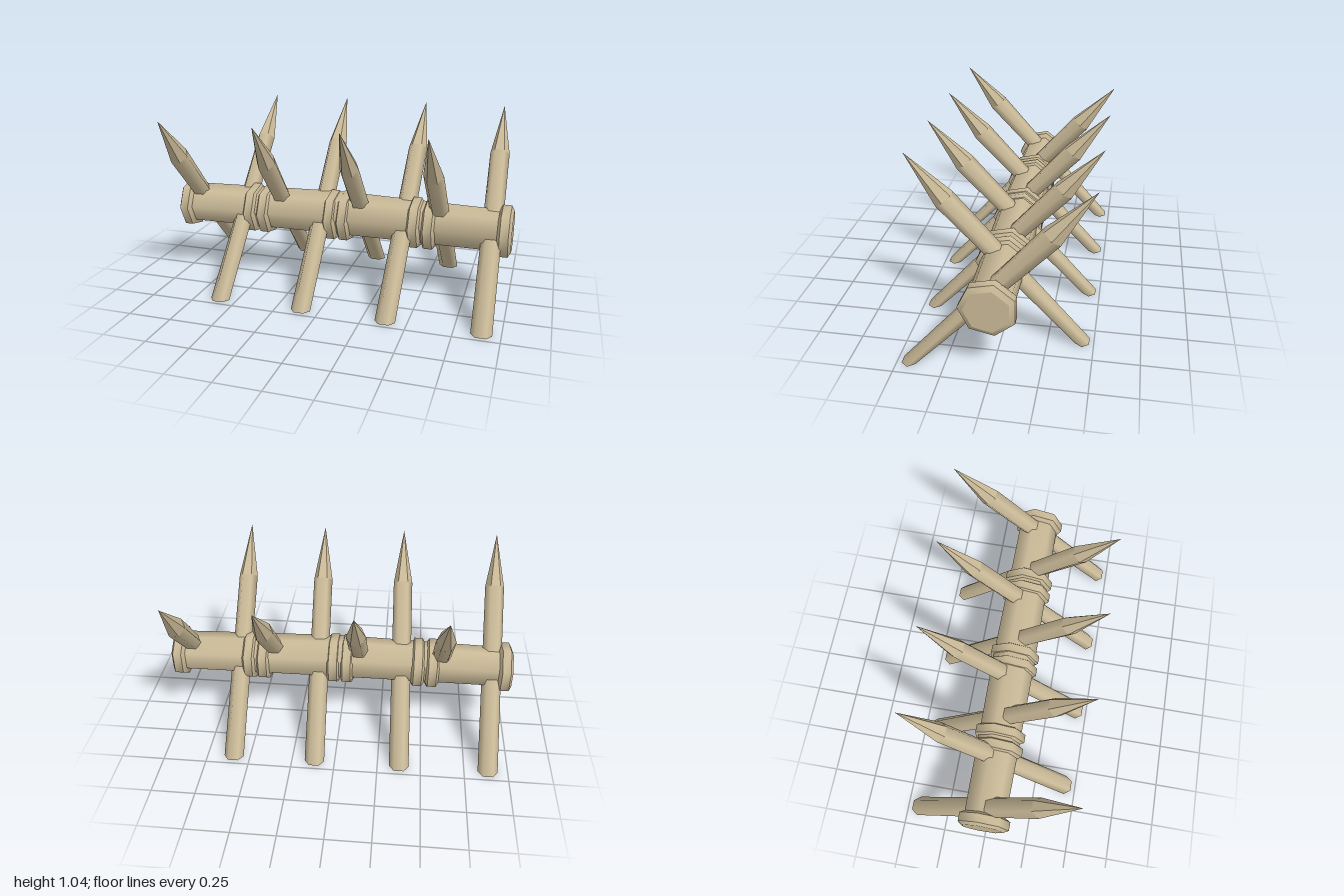
import * as THREE from 'three';
import { mergeGeometries } from 'three/addons/utils/BufferGeometryUtils.js';

// Turns points and triangles into a geometry, smooth or faceted
function surface(points, index, flat = false) {
  let g = new THREE.BufferGeometry().setFromPoints(points);
  g.setIndex(index);
  if (flat) g = g.toNonIndexed();
  g.computeVertexNormals();
  return flat ? g : g.toNonIndexed();
}

// Skin through a list of closed rings
function loft(rings, flat = false) {
  const n = rings[0].length, index = [];
  for (let r = 0; r < rings.length - 1; r++) {
    for (let i = 0; i < n; i++) {
      const a = r * n + i, b = r * n + (i + 1) % n;
      index.push(a, a + n, b + n, a, b + n, b);
    }
  }
  return surface(rings.flat(), index, flat);
}

// Flat lid on a ring
function lid(ring, atEnd = false) {
  const index = [];
  for (let i = 1; i < ring.length - 1; i++) {
    index.push(0, ...(atEnd ? [i + 1, i] : [i, i + 1]));
  }
  return surface(ring, index, true);
}

// Seven-sided section across the log
function logRing(x, radius, y = 0.427) {
  return Array.from({ length: 7 }, (_, i) => {
    const a = i / 7 * Math.PI * 2;
    return new THREE.Vector3(x, y + radius * Math.sin(a), radius * Math.cos(a));
  });
}

// Six-sided section across a stake; dy and dz give the tilt of its short axis
function stakeRing(x, y, z, half, dy, dz) {
  return Array.from({ length: 6 }, (_, i) => {
    const a = i / 6 * Math.PI * 2, s = Math.sin(a) / Math.sin(Math.PI / 3);
    return new THREE.Vector3(x + half * Math.cos(a), y + dy * s, z + dz * s);
  });
}

export function createModel() {
  const group = new THREE.Group();
  const wood = new THREE.MeshStandardMaterial({ color: 0xc9b997 });
  wood.name = 'pale wood';

  const add = (name, parts) => {
    const mesh = new THREE.Mesh(mergeGeometries(parts), wood);
    mesh.name = name;
    group.add(mesh);
  };

  // Central log, slightly thicker in the middle
  const log = [logRing(-1, 0.12), logRing(0, 0.13, 0.442), logRing(1, 0.12)];
  add('log', [loft(log), lid(log[0]), lid(log[2], true)]);

  // Bevelled bands: one at each end, and three pairs along the log
  for (const x of [-0.96, -0.54, -0.455, -0.04, 0.04, 0.455, 0.54, 0.96]) {
    const rings = [[-0.04, 0.12], [-0.024, 0.15], [0.024, 0.15], [0.04, 0.12]]
      .map(([dx, r]) => logRing(x + dx, r));
    add('band', [0, 1, 2].map(i => loft([rings[i], rings[i + 1]])));
  }

  // Sharpened stakes, crossing through the log; side is where the tip points in z
  function addStake(footX, tipX, side) {
    const shoulderX = footX + (tipX - footX) * 0.77;
    const foot = stakeRing(footX, 0, -0.4375 * side, 0.057, 0, 0.0375);
    const shoulder = stakeRing(shoulderX, 0.8, 0.295 * side, 0.055, -0.0325 * side, 0.04);
    const tip = stakeRing(tipX, 1.04, 0.495 * side, 0.0005, 0, 0.0004);
    add('stake', [loft([foot, shoulder]), lid(foot), loft([shoulder, tip], true)]);
  }
  for (const [foot, tip] of [[-0.885, -0.885], [-0.375, -0.335], [0.118, 0.14], [0.595, 0.59]]) {
    addStake(foot, tip, 1);
  }
  for (const [foot, tip] of [[-0.6, -0.58], [-0.106, -0.106], [0.38, 0.402], [0.897, 0.875]]) {
    addStake(foot, tip, -1);
  }
  return group;
}
